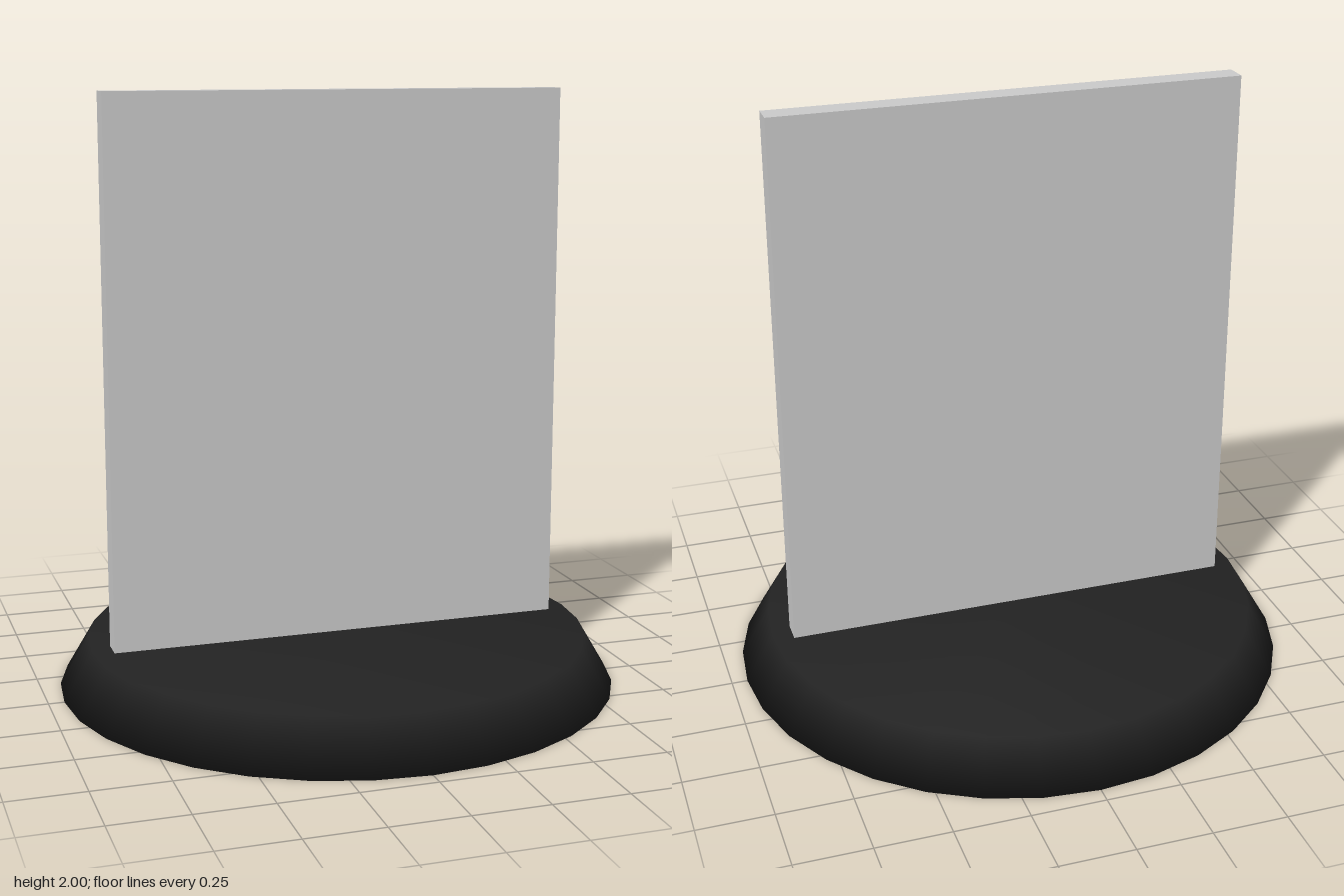
import * as THREE from 'three';
import { mergeVertices } from 'three/addons/utils/BufferGeometryUtils.js';

const BASE_HEIGHT = 0.165;
const TOTAL_HEIGHT = 2;

// Weld the rims so the shading rolls softly over the edges
function softened(geometry) {
  geometry.deleteAttribute('normal');
  geometry.deleteAttribute('uv');
  const welded = mergeVertices(geometry, 1e-4);
  welded.computeVertexNormals();
  return welded;
}

export function createModel() {
  const model = new THREE.Group();
  model.name = 'displayStand';

  // Round tapered foot
  const base = new THREE.Mesh(
    softened(new THREE.CylinderGeometry(0.85, 0.947, BASE_HEIGHT, 32)),
    new THREE.MeshStandardMaterial({ color: 0x222222 })
  );
  base.name = 'base';
  base.position.y = BASE_HEIGHT / 2;
  model.add(base);

  // Upright flat panel standing on the foot
  const panelHeight = TOTAL_HEIGHT - BASE_HEIGHT;
  const panel = new THREE.Mesh(
    new THREE.BoxGeometry(1.565, panelHeight, 0.08),
    new THREE.MeshStandardMaterial({ color: 0xcccccc })
  );
  panel.name = 'panel';
  panel.position.y = BASE_HEIGHT + panelHeight / 2;
  model.add(panel);

  return model;
}
